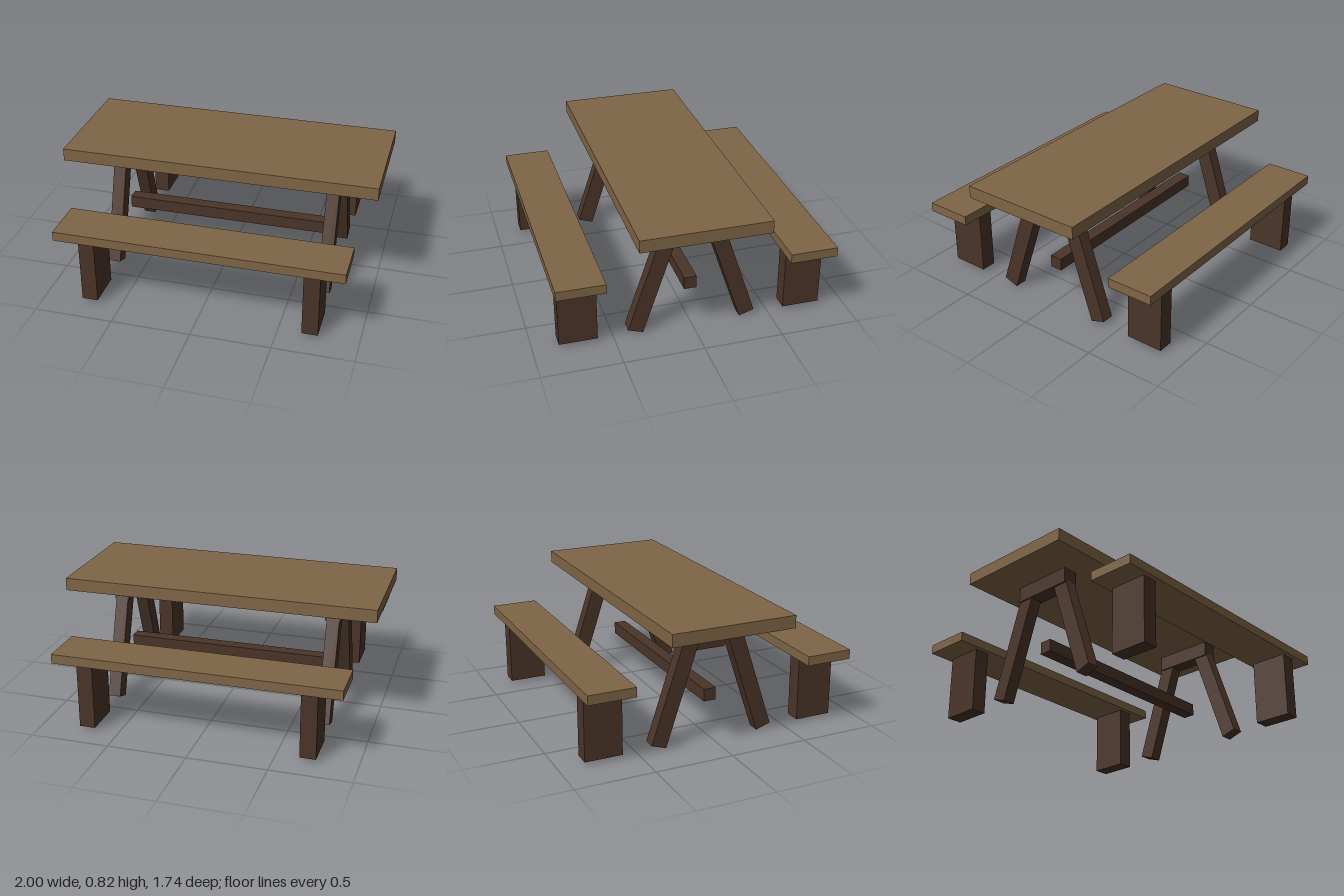
import * as THREE from 'three';

export function createModel() {
  const model = new THREE.Group();
  model.name = 'picnicTable';
  const plankWood = new THREE.MeshStandardMaterial({ color: 0x7f6546 });
  const frameWood = new THREE.MeshStandardMaterial({ color: 0x4a3428 });

  const addBox = (name, material, size, position, tilt = 0) => {
    const mesh = new THREE.Mesh(new THREE.BoxGeometry(...size), material);
    mesh.name = name;
    mesh.position.set(...position);
    mesh.rotation.x = tilt;
    model.add(mesh);
  };

  // Table top and the low rail joining the two trestles
  addBox('tableTop', plankWood, [2, 0.08, 0.8], [0, 0.78, 0]);
  addBox('stretcher', frameWood, [1.4, 0.08, 0.08], [0, 0.28, 0]);

  // Splayed legs: length, thickness, lean and the middle of the foot
  const legLength = 0.7, legDepth = 0.1, lean = 0.32;
  const footZ = 0.36, footY = (legDepth / 2) * Math.sin(lean);
  const legY = footY + (legLength / 2) * Math.cos(lean);
  const legZ = footZ - (legLength / 2) * Math.sin(lean);

  for (const [end, x] of [['left', 0.7], ['right', -0.7]]) {
    addBox(`${end}Crosspiece`, frameWood, [0.1, 0.1, 0.4], [x, 0.69, 0]);
    for (const [side, s] of [['Front', 1], ['Back', -1]]) {
      addBox(`${end}${side}Leg`, frameWood, [0.08, legLength, legDepth], [x, legY, s * legZ], -s * lean);
      addBox(`${end}${side}BenchSupport`, frameWood, [0.1, 0.42, 0.24], [x, 0.23, s * 0.72]);
    }
  }

  // Bench seats
  for (const [side, s] of [['front', 1], ['back', -1]]) {
    addBox(`${side}BenchSeat`, plankWood, [1.8, 0.06, 0.3], [0, 0.47, s * 0.72]);
  }

  return model;
}
